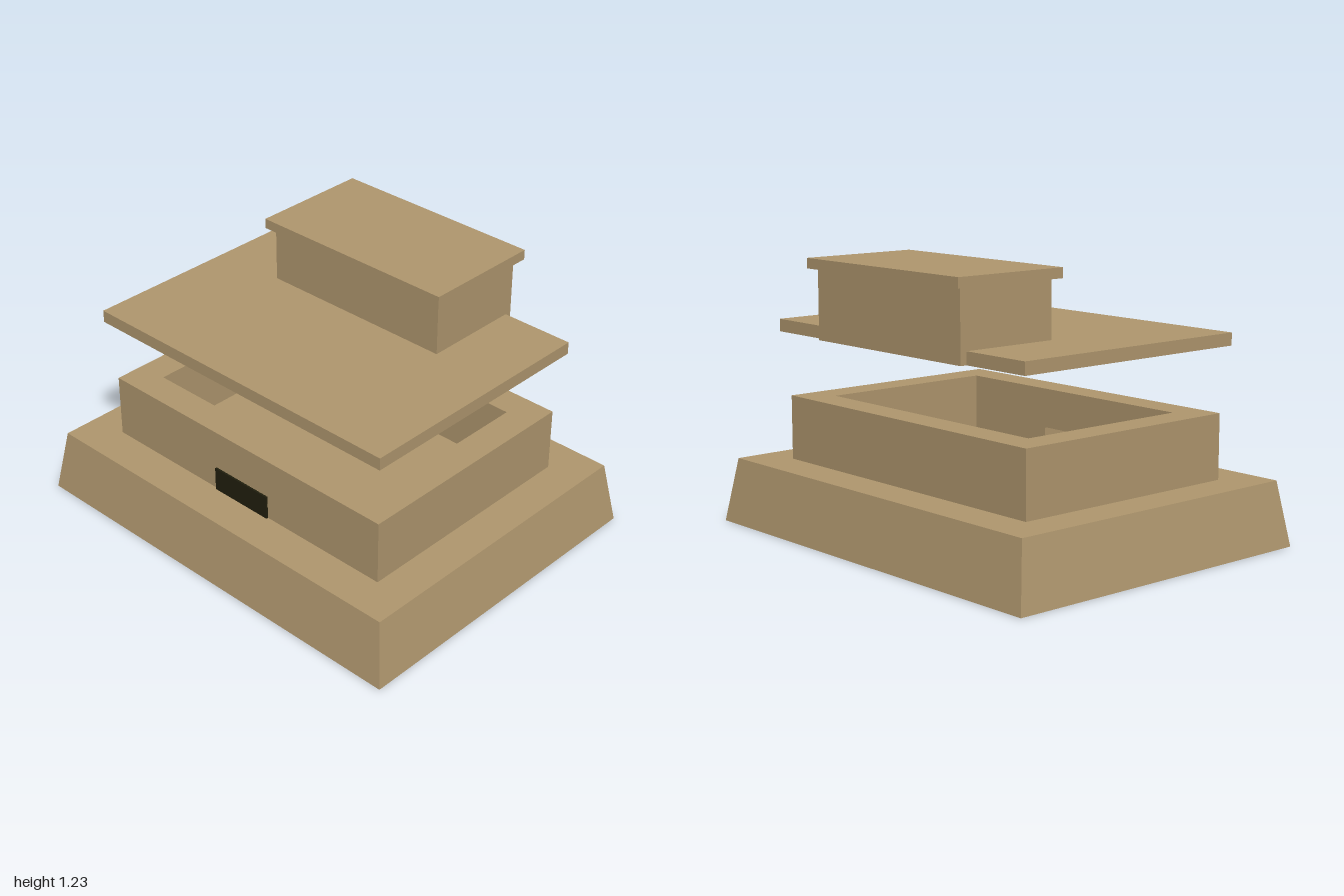
import * as THREE from 'three';

export function createModel() {
  const model = new THREE.Group();
  model.name = 'tomb';
  const stone = new THREE.MeshStandardMaterial({ color: 0xb1986f, side: THREE.DoubleSide });
  stone.name = 'sandstone';
  const dark = new THREE.MeshStandardMaterial({ color: 0x211f0e, side: THREE.DoubleSide });
  dark.name = 'dark opening';

  const add = (name, geometry, material = stone) => {
    const mesh = new THREE.Mesh(geometry, material);
    mesh.name = name;
    model.add(mesh);
    return mesh;
  };

  // Hollow lid shape: four walls and a top, open below; inset slopes the walls inward
  const shell = (name, x, z0, z1, y0, y1, inset = 0) => {
    const depth = z1 - z0;
    const g = new THREE.BoxGeometry(2 * x, y1 - y0, depth);
    const p = g.attributes.position;
    for (let i = 0; i < p.count; i++) {
      if (p.getY(i) > 0) {
        p.setX(i, p.getX(i) * (1 - inset / x));
        p.setZ(i, p.getZ(i) * (1 - 2 * inset / depth));
      }
    }
    const index = Array.from(g.index.array);
    index.splice(18, 6); // bottom face
    g.setIndex(index);
    g.clearGroups();
    g.computeVertexNormals();
    g.translate(0, (y0 + y1) / 2, (z0 + z1) / 2);
    return add(name, g);
  };

  // Plan drawn in x and -z, raised from y0 to y1
  const raise = (name, shape, y0, y1) => {
    const g = new THREE.ExtrudeGeometry(shape, { depth: y1 - y0, bevelEnabled: false });
    g.rotateX(-Math.PI / 2);
    g.translate(0, y0, 0);
    return add(name, g);
  };
  const plan = (points) => new THREE.Shape(points.map(([x, z]) => new THREE.Vector2(x, -z)));
  const rect = (x, z) => [[-x, z], [x, z], [x, -z], [-x, -z]];

  // Sloping base
  shell('base', 1, -0.78, 0.78, 0, 0.29, 0.047);

  // Chamber walls with a doorway in the front, closed above by a full ring
  const X = 0.78, Z = 0.556, ix = 0.64, iz = 0.416, d = 0.155, doorTop = 0.4;
  raise('lowerWalls', plan([
    [d, Z], [X, Z], [X, -Z], [-X, -Z], [-X, Z], [-d, Z],
    [-d, iz], [-ix, iz], [-ix, -iz], [ix, -iz], [ix, iz], [d, iz],
  ]), 0, doorTop);
  const ring = plan(rect(X, Z));
  ring.holes.push(plan(rect(ix, iz)));
  raise('upperWalls', ring, doorTop, 0.58);

  // Dark door panel
  const door = add('door', new THREE.BoxGeometry(2 * d, doorTop, 0.009), dark);
  door.position.set(0, doorTop / 2, Z + 0.005);

  // Raised roof slab, shrine and its cap
  shell('roofSlab', 0.81, -0.59, 0.588, 0.87, 0.926);
  shell('shrine', 0.47, -0.622, -0.135, 0.87, 1.215);
  shell('shrineCap', 0.5, -0.657, -0.1, 1.18, 1.225);

  return model;
}
